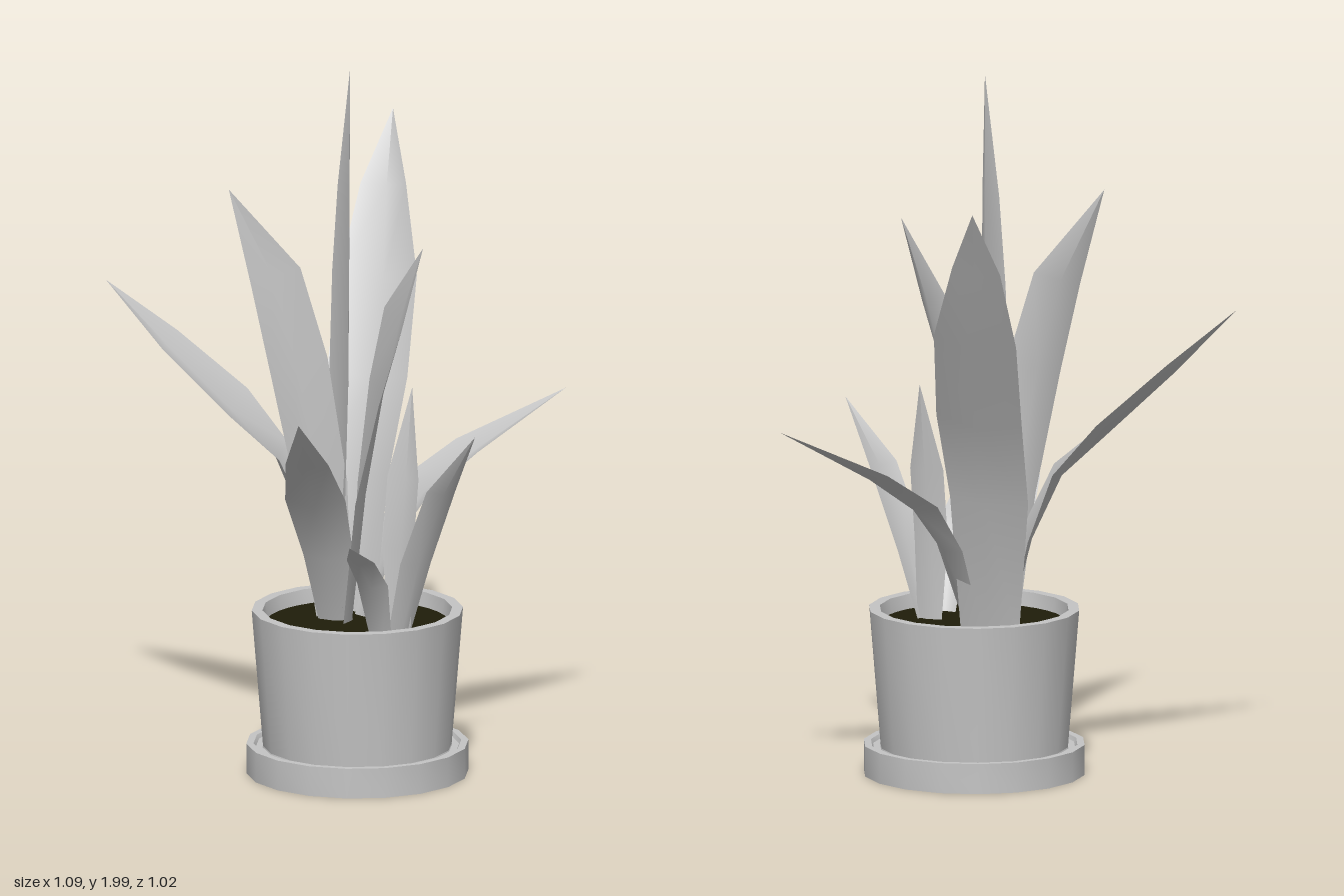
import * as THREE from 'three';
import { toCreasedNormals } from 'three/addons/utils/BufferGeometryUtils.js';

const grey = new THREE.MeshStandardMaterial({ name: 'plain grey', color: 0xc4c4c4, side: THREE.DoubleSide });
const earth = new THREE.MeshStandardMaterial({ name: 'dark earth', color: 0x1f1d0a });

const POT_X = 0.13, POT_Z = 0.085;

function add(group, name, geometry, material) {
  const mesh = new THREE.Mesh(geometry, material);
  mesh.name = name;
  group.add(mesh);
  return mesh;
}

// Turned shape with sharp rims and smooth walls
function turned(profile) {
  const points = profile.map(([r, y]) => new THREE.Vector2(r, y));
  return toCreasedNormals(new THREE.LatheGeometry(points, 18), 0.6);
}

// Folded blade: stations of [x, y, z, halfWidth] along a spine, each with left edge, midrib, right edge.
// The width direction turns from baseSide to tipSide.
function blade(stations, baseSide, tipSide = baseSide, fold = 0.16) {
  const spine = stations.map(([x, y, z]) => new THREE.Vector3(x, y, z));
  const last = spine.length - 1;
  const positions = [], index = [];
  spine.forEach((p, i) => {
    const w = stations[i][3];
    const tangent = spine[Math.min(i + 1, last)].clone().sub(spine[Math.max(i - 1, 0)]).normalize();
    const side = new THREE.Vector3(...baseSide).lerp(new THREE.Vector3(...tipSide), i / last);
    side.addScaledVector(tangent, -side.dot(tangent) * 0.6).normalize();
    const inner = new THREE.Vector3().crossVectors(tangent, side).normalize();
    if (inner.y < 0) inner.negate();
    for (const s of [-1, 0, 1]) {
      const v = p.clone().addScaledVector(side, s * w)
        .addScaledVector(inner, (s === 0 ? -1 : 1) * fold * w);
      positions.push(v.x, v.y, v.z);
    }
    if (i === 0) return;
    for (let k = 0; k < 2; k++) {
      const a = (i - 1) * 3 + k, b = a + 1, c = a + 3, d = a + 4;
      index.push(a, b, d);
      if (i < last) index.push(a, d, c);
    }
  });
  const geometry = new THREE.BufferGeometry();
  geometry.setAttribute('position', new THREE.Float32BufferAttribute(positions, 3));
  geometry.setIndex(index);
  geometry.computeVertexNormals();
  return geometry;
}

// Each leaf: stations, width direction at the base, optional width direction at the tip
const LEAVES = {
  tallCentreLeaf: [[[0.06, 0.4, 0.09, 0.06], [0.06, 0.8, 0.08, 0.082], [0.06, 1.1, 0.07, 0.088],
    [0.06, 1.4, 0.065, 0.078], [0.062, 1.65, 0.06, 0.055], [0.065, 1.99, 0.05, 0]], [0.88, 0, 0.45]],
  backRightLeaf: [[[0.03, 0.4, 0.02, 0.085], [-0.02, 0.8, -0.05, 0.115], [-0.07, 1.05, -0.16, 0.125],
    [-0.15, 1.3, -0.28, 0.12], [-0.235, 1.53, -0.38, 0.07], [-0.3, 1.72, -0.475, 0]], [0.94, 0, -0.3]],
  frontRightLeaf: [[[0.03, 0.4, 0.07, 0.05], [0.02, 0.8, 0.12, 0.075], [-0.02, 1.15, 0.17, 0.085],
    [-0.07, 1.4, 0.21, 0.075], [-0.16, 1.65, 0.3, 0]], [0.42, 0.2, -0.85]],
  backLeftLeaf: [[[0.1, 0.4, 0.04, 0.045], [0.13, 0.65, -0.04, 0.07], [0.17, 0.78, -0.12, 0.095],
    [0.23, 0.88, -0.25, 0.08], [0.345, 1.03, -0.515, 0]], [0.92, 0, 0.36]],
  uprightLeftLeaf: [[[0.09, 0.4, 0.08, 0.045], [0.15, 0.8, 0.09, 0.08], [0.22, 1.1, 0.09, 0.083],
    [0.285, 1.32, 0.085, 0.07], [0.38, 1.54, 0.075, 0]], [0.5, -0.2, 0.8], [0.9, -0.25, 0.2]],
  wideRightLeaf: [[[0.02, 0.4, 0.08, 0.05], [-0.04, 0.68, 0.11, 0.07], [-0.12, 0.87, 0.14, 0.09],
    [-0.24, 1.0, 0.2, 0.1], [-0.4, 1.17, 0.3, 0.06], [-0.545, 1.34, 0.4, 0]], [0.8, 0, 0.6], [0.4, -0.4, 0.85]],
  frontLeftLeaf: [[[0.06, 0.4, 0.1, 0.045], [0.1, 0.62, 0.17, 0.07], [0.15, 0.8, 0.27, 0.085],
    [0.23, 0.94, 0.38, 0.06], [0.33, 1.1, 0.51, 0]], [0.8, 0, -0.6]],
  smallSideLeaf: [[[0.27, 0.4, 0.06, 0.035], [0.33, 0.62, 0.05, 0.05], [0.42, 0.84, 0.04, 0.048],
    [0.54, 1.02, 0.03, 0]], [-0.25, 0, 1]],
  smallFrontLeaf: [[[0.28, 0.4, 0.14, 0.03], [0.305, 0.58, 0.2, 0.045], [0.35, 0.67, 0.29, 0.04],
    [0.43, 0.75, 0.41, 0]], [0.88, 0, -0.45]],
  smallUprightLeaf: [[[0.255, 0.4, 0.04, 0.035], [0.25, 0.65, 0.04, 0.05], [0.25, 0.85, 0.02, 0.05],
    [0.24, 1.1, -0.02, 0]], [0.95, 0, -0.25]],
};

export function createModel() {
  const model = new THREE.Group();
  model.name = 'pottedPlant';

  // Pot, saucer with a hollow underside, and soil
  const planter = new THREE.Group();
  planter.name = 'planter';
  planter.position.set(POT_X, 0, POT_Z);
  model.add(planter);
  add(planter, 'saucer', turned([[0, 0.11], [0.25, 0.11], [0.292, 0],
    [0.309, 0], [0.309, 0.085], [0.289, 0.085], [0.283, 0.074], [0.258, 0.074]]), grey);
  add(planter, 'pot', turned([[0.262, 0.072], [0.294, 0.465], [0.264, 0.465], [0.254, 0.4]]), grey);
  const soil = add(planter, 'soil', new THREE.CircleGeometry(0.258, 18), earth);
  soil.rotation.x = -Math.PI / 2;
  soil.position.y = 0.425;

  // Leaves
  const leaves = new THREE.Group();
  leaves.name = 'leaves';
  model.add(leaves);
  for (const [name, [stations, baseSide, tipSide]] of Object.entries(LEAVES)) {
    add(leaves, name, blade(stations, baseSide, tipSide), grey);
  }
  return model;
}
